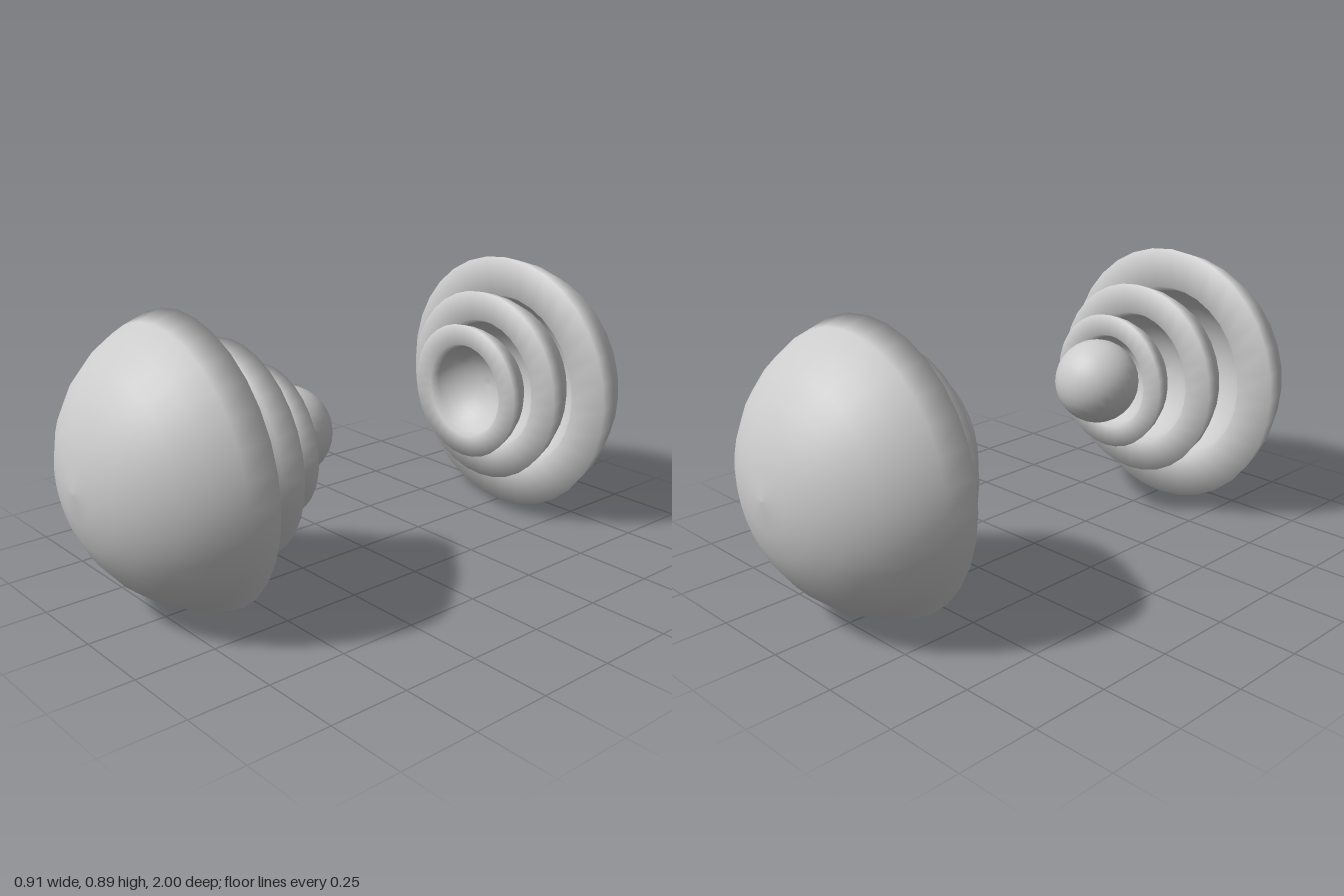
import * as THREE from 'three';

const SEGMENTS = 32;
const RINGS = 7;
const CUT = Math.PI * 7 / 16; // polar angle where each dome is cut open

const material = new THREE.MeshStandardMaterial({ color: 0xcccccc });

// Thick dome around the origin, pole towards +y, with a flat annular rim
function domeGeometry(rimRadius) {
  const outer = rimRadius / Math.sin(CUT);
  const rimHeight = outer * Math.cos(CUT);
  const innerRim = rimRadius * 0.7;
  const inner = Math.hypot(innerRim, rimHeight);
  const innerCut = Math.atan2(innerRim, rimHeight);
  const points = [];
  for (let i = 0; i <= RINGS; i++) {
    const a = innerCut * i / RINGS;
    points.push(new THREE.Vector2(inner * Math.sin(a), inner * Math.cos(a)));
  }
  for (let i = RINGS; i >= 0; i--) {
    const a = CUT * i / RINGS;
    points.push(new THREE.Vector2(outer * Math.sin(a), outer * Math.cos(a)));
  }
  const geometry = new THREE.LatheGeometry(points, SEGMENTS);
  geometry.translate(0, -rimHeight, 0); // origin at the rim centre
  return geometry;
}

// Nested shells of one half: [name, rim radius, rim centre x, y, z]
function halfSphere(name, layers, rotX, rotZ) {
  const half = new THREE.Group();
  half.name = name;
  for (const [part, radius, x, y, z] of layers) {
    const mesh = new THREE.Mesh(domeGeometry(radius), material);
    mesh.name = part;
    mesh.position.set(x, y, z);
    mesh.rotation.set(rotX, 0, rotZ);
    half.add(mesh);
  }
  return half;
}

export function createModel() {
  const model = new THREE.Group();
  model.name = 'explodedLayeredSphere';

  // Front half, opening towards the back
  const front = halfSphere('frontHalf', [
    ['outerShell', 0.441, -0.015, 0.452, 0.64],
    ['middleShell', 0.326, 0.007, 0.465, 0.49],
    ['innerShell', 0.228, 0.03, 0.473, 0.382],
  ], Math.PI / 2 + 0.022, 0.01);

  // Back half, opening towards the front
  const back = halfSphere('backHalf', [
    ['outerShell', 0.441, 0.01, 0.447, -0.637],
    ['middleShell', 0.325, 0.02, 0.462, -0.517],
    ['innerShell', 0.228, 0.032, 0.463, -0.42],
  ], -Math.PI / 2 + 0.02, 0);

  // Solid ball at the centre of the layers
  const core = new THREE.Mesh(new THREE.SphereGeometry(0.14, SEGMENTS, 16), material);
  core.name = 'core';
  core.position.set(0.033, 0.484, 0.331);

  model.add(front, back, core);
  return model;
}
